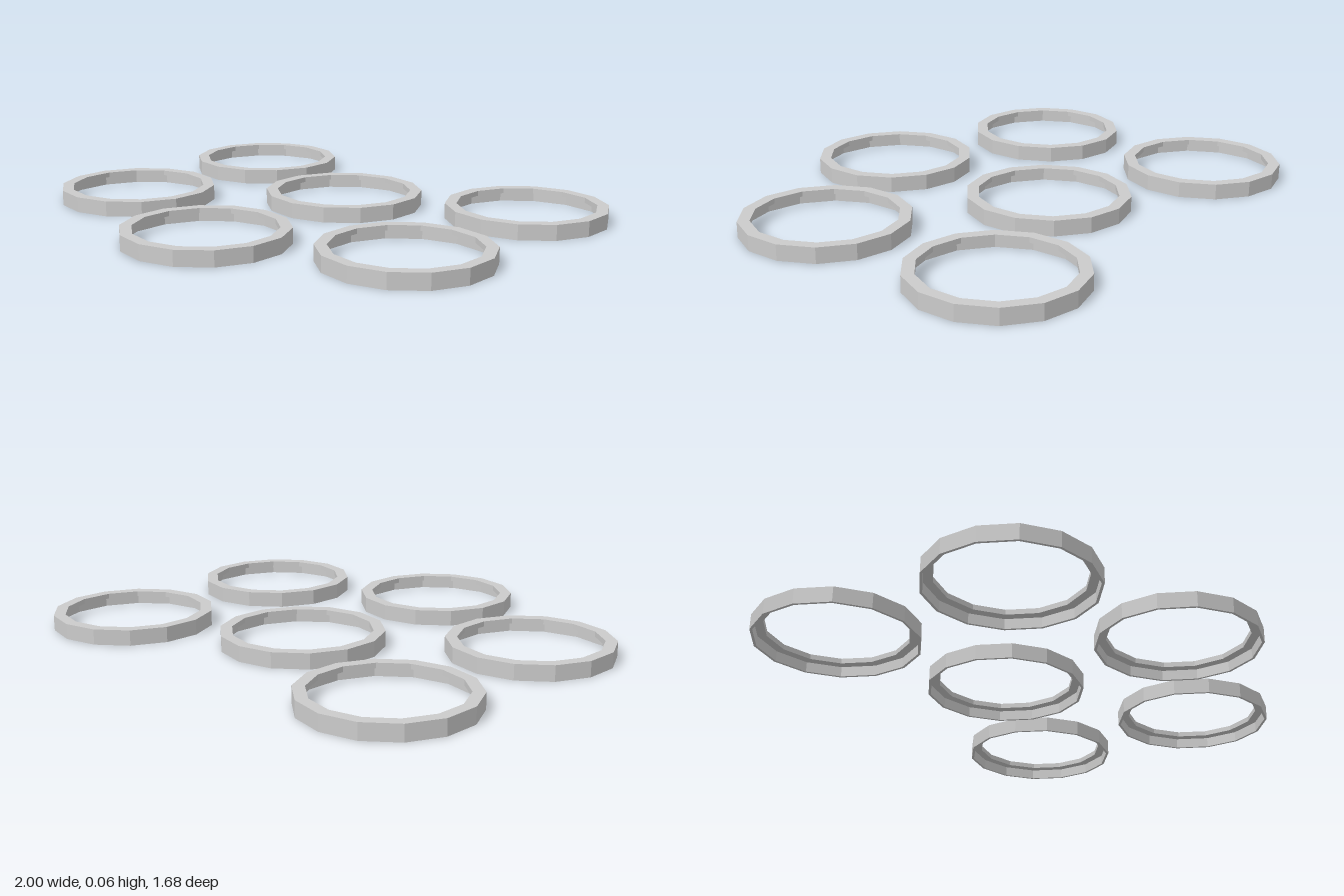
import * as THREE from 'three';

export function createModel() {
  const group = new THREE.Group();
  group.name = 'ringSet';
  const material = new THREE.MeshStandardMaterial({ color: 0xcccccc, flatShading: true });

  // Ring section: a thin outer skirt with an inward flange on top
  const outer = 0.315, skirt = 0.305, inner = 0.27, height = 0.06, ledge = 0.04;
  const section = [
    [outer, 0], [outer, height], [inner, height],
    [inner, ledge], [skirt, ledge], [skirt, 0], [outer, 0],
  ].map(([r, y]) => new THREE.Vector2(r, y));
  const ringGeometry = new THREE.LatheGeometry(section, 14);

  // Three columns of two rings, the middle column set forward
  const columns = [
    { name: 'right', x: -0.693, z: [-0.528, 0.245] },
    { name: 'middle', x: 0.002, z: [-0.25, 0.525] },
    { name: 'left', x: 0.69, z: [-0.528, 0.245] },
  ];
  for (const { name, x, z } of columns) {
    z.forEach((depth, i) => {
      const ring = new THREE.Mesh(ringGeometry, material);
      ring.name = name + (i ? 'FrontRing' : 'BackRing');
      ring.position.set(x, 0, depth);
      group.add(ring);
    });
  }
  return group;
}
